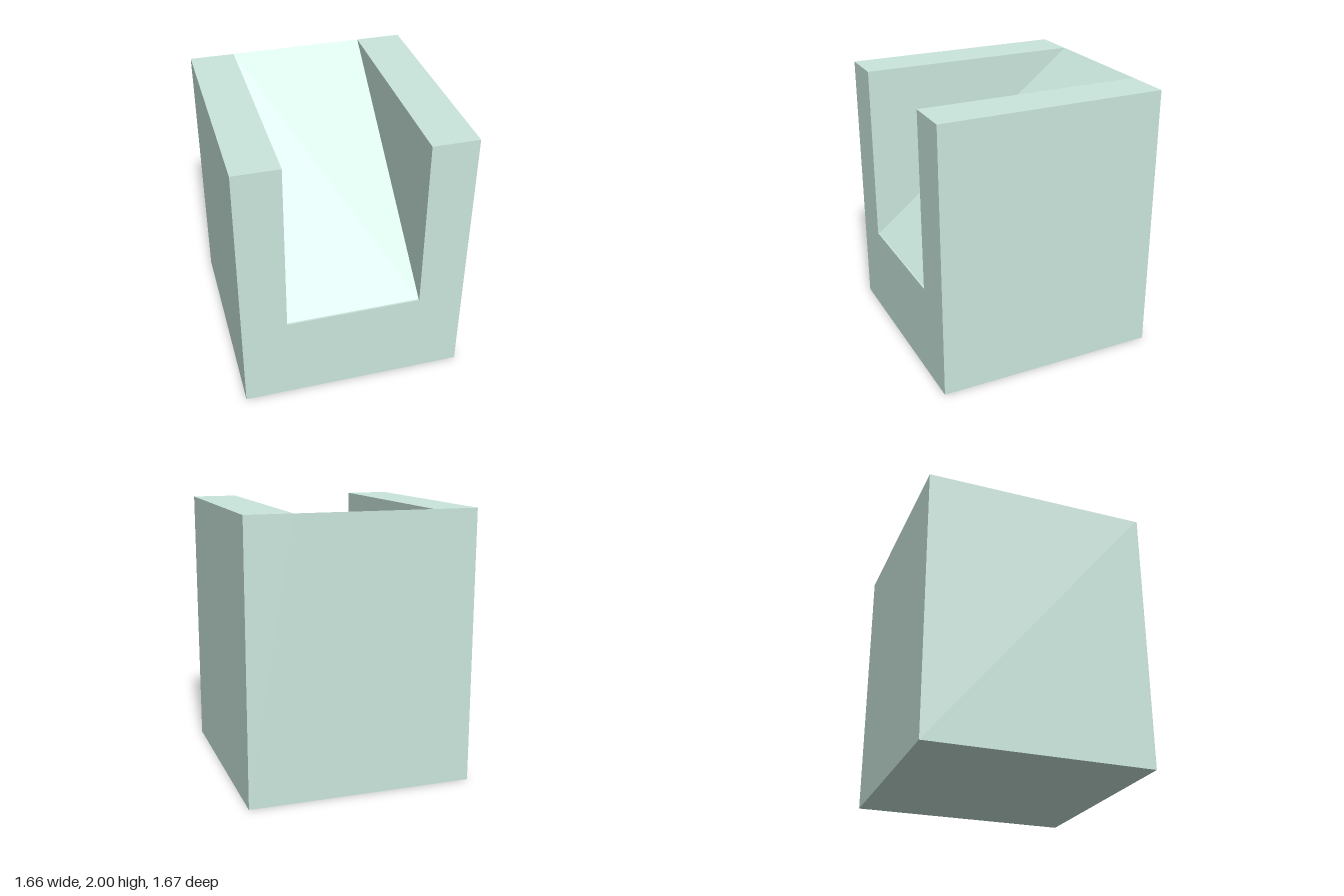
import * as THREE from 'three';

const HALF_W = 0.83, HALF_D = 0.833, HEIGHT = 2;
const SLOT_L = -0.5, SLOT_R = 0.493, FLOOR = 0.68;
const LIP_Z = 0.82; // ramp starts just behind the front face

export function createModel() {
  const group = new THREE.Group();
  group.name = 'slottedRampBlock';

  // U-shaped front outline: block with a slot open at the top
  const outline = new THREE.Shape([
    [-HALF_W, 0], [HALF_W, 0], [HALF_W, HEIGHT], [SLOT_R, HEIGHT],
    [SLOT_R, FLOOR], [SLOT_L, FLOOR], [SLOT_L, HEIGHT], [-HALF_W, HEIGHT],
  ].map(([x, y]) => new THREE.Vector2(x, y)));

  const geometry = new THREE.ExtrudeGeometry(outline, {
    depth: 2 * HALF_D, steps: 2, bevelEnabled: false,
  });
  geometry.translate(0, 0, -HALF_D);

  // Middle ring becomes the front lip; the slot floor rises to the top at the back
  const p = geometry.attributes.position;
  for (let i = 0; i < p.count; i++) {
    const z = p.getZ(i);
    if (Math.abs(z) < 0.01) p.setZ(i, LIP_Z);
    else if (z < 0 && Math.abs(p.getY(i) - FLOOR) < 0.01) p.setY(i, HEIGHT);
  }
  geometry.computeVertexNormals();

  const block = new THREE.Mesh(
    geometry,
    new THREE.MeshStandardMaterial({ color: 0xcae6dc, flatShading: true }),
  );
  block.name = 'blockWithRamp';
  group.add(block);
  return group;
}
